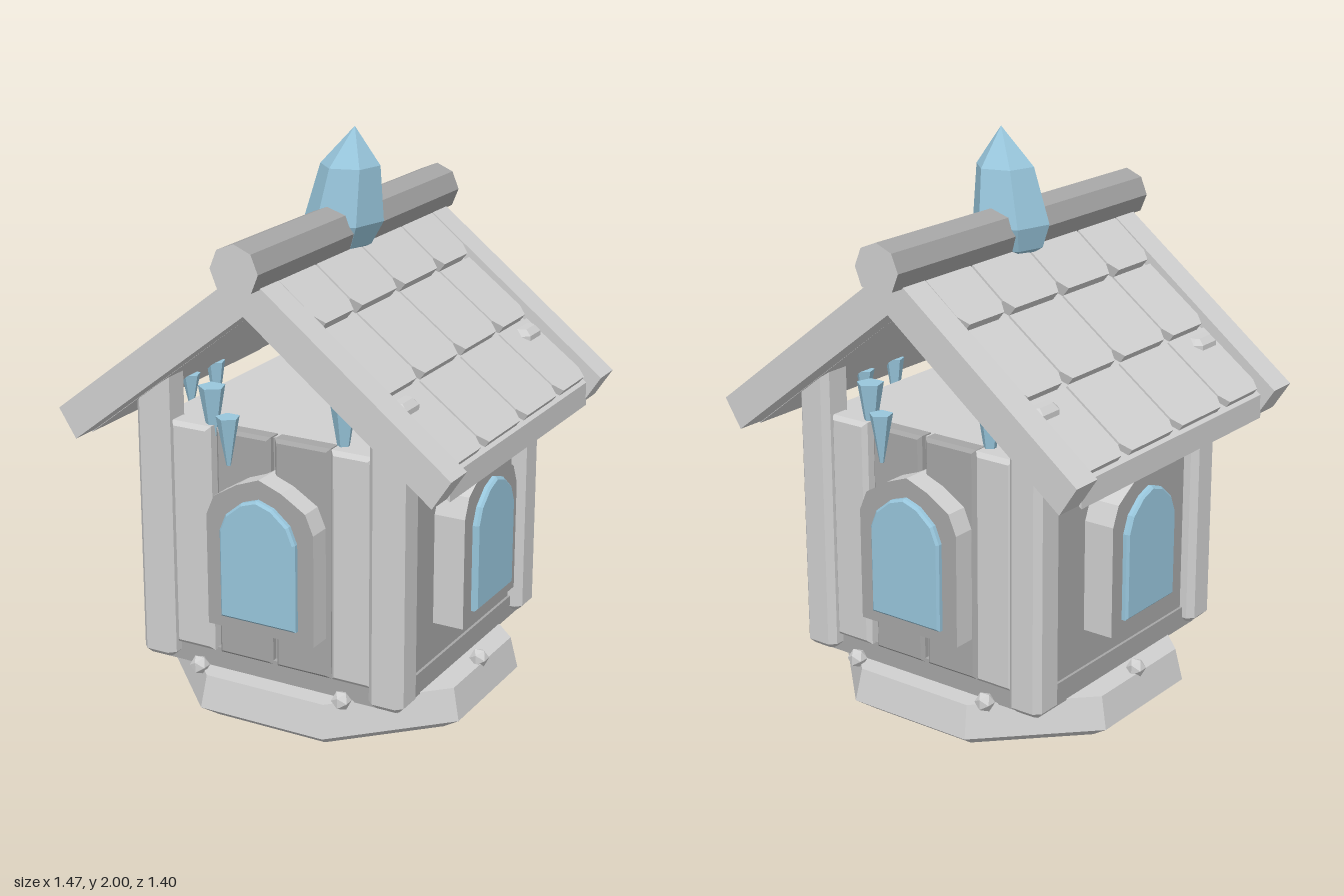
import * as THREE from 'three';

const mat = (name, color) => {
  const m = new THREE.MeshStandardMaterial({ color });
  m.name = name;
  return m;
};

export function createModel() {
  const light = mat('lightGrey', 0xd0d0d0);
  const dark = mat('darkGrey', 0xa6a6a6);
  const blue = mat('iceBlue', 0x98c6dc);
  const model = new THREE.Group();

  const add = (name, geo, material, parent = model, x = 0, y = 0, z = 0) => {
    const mesh = new THREE.Mesh(geo, material);
    mesh.name = name;
    mesh.position.set(x, y, z);
    parent.add(mesh);
    return mesh;
  };
  const group = (name, turn = 0) => {
    const g = new THREE.Group();
    g.name = name;
    g.rotation.y = turn;
    model.add(g);
    return g;
  };
  const flat = (geo) => {
    const g = geo.index ? geo.toNonIndexed() : geo;
    g.computeVertexNormals();
    return g;
  };
  const poly = (pts) => new THREE.Shape(pts.map(([x, y]) => new THREE.Vector2(x, y)));
  // Mirrors the right half of an outline, listed from bottom to top centre
  const mirrored = (pts) =>
    poly([...pts, ...pts.filter(([x]) => x > 0).reverse().map(([x, y]) => [-x, y])]);
  // Extrusion from z0 to z1 with an optional one-step bevel on both ends
  const slab = (shape, z0, z1, bevel = 0) =>
    new THREE.ExtrudeGeometry(shape, {
      depth: z1 - z0 - 2 * bevel, bevelEnabled: bevel > 0, bevelSegments: 1,
      bevelSize: bevel, bevelOffset: -bevel, bevelThickness: bevel,
    }).translate(0, 0, z0 + bevel);

  // Octagonal base
  const basePoints = [[0, 0], [0.51, 0], [0.58, 0.05], [0.555, 0.165], [0, 0.165]]
    .map(([r, y]) => new THREE.Vector2(r / Math.cos(Math.PI / 8), y));
  add('base', flat(new THREE.LatheGeometry(basePoints, 8, Math.PI / 8)), light);

  // Pebbles on the base
  for (const [x, z] of [[0.54, 0], [-0.54, 0], [0.28, 0.52], [-0.28, 0.52], [0.28, -0.52], [-0.28, -0.52]])
    add('pebble', flat(new THREE.IcosahedronGeometry(0.035, 0)), light, model, x, 0.178, z);

  // Floor and solid body: dark walls, light top
  add('floor', new THREE.BoxGeometry(0.94, 0.08, 0.96), dark, model, 0, 0.2, 0);
  add('body', new THREE.BoxGeometry(0.92, 0.81, 0.92), [dark, dark, light, dark, dark, dark], model, 0, 0.635, 0);

  // Corner posts with chamfered corners and ends
  const a = 0.065, c = 0.043;
  const postShape = poly([[a, -c], [a, c], [c, a], [-c, a], [-a, c], [-a, -c], [-c, -a], [c, -a]]);
  const postGeo = slab(postShape, 0, 1.07, 0.02).rotateX(-Math.PI / 2);
  for (const x of [-0.445, 0.445])
    for (const z of [-0.47, 0.47]) add('cornerPost', postGeo, light, model, x, 0.18, z);

  // Planks on the front and back
  for (const turn of [0, Math.PI]) {
    const wall = group('plankWall', turn);
    for (const s of [-1, 1]) {
      const plank = (x0, x1, y0, y1) => poly([[x0, y0], [x1, y0], [x1, y1], [x0, y1]]);
      const span = (p, q) => (s > 0 ? [p, q] : [-q, -p]);
      add('outerPlank', slab(plank(...span(0.23, 0.385), 0.235, 1.05), 0.42, 0.51, 0.015), light, wall);
      add('innerPlank', slab(plank(...span(0.008, 0.218), 0.225, 1.045), 0.42, 0.49, 0.012), dark, wall);
    }
  }

  // Arched windows on all four sides
  const frame = mirrored([[0.205, 0.375], [0.205, 0.77], [0.175, 0.84], [0.085, 0.895], [0, 0.927]]);
  const pane = mirrored([[0.145, 0.42], [0.145, 0.73], [0.12, 0.79], [0.06, 0.84], [0, 0.86]]);
  for (let i = 0; i < 4; i++) {
    const win = group('window', i * Math.PI / 2);
    add('windowFrame', slab(frame, 0.455, 0.572), [dark, light], win);
    add('windowPane', slab(pane, 0.56, 0.594, 0.008), blue, win);
  }

  // Roof deck and gable boards
  const chevron = (low, tip, top) =>
    poly([[0, 1.5], low, tip, [0, top], [-tip[0], tip[1]], [-low[0], low[1]]]);
  add('roofDeck', slab(chevron([0.68, 0.97], [0.68, 1.055], 1.6), -0.545, 0.545), light);
  const gable = chevron([0.67, 0.98], [0.735, 1.08], 1.65);
  for (const z of [-0.65, 0.54]) add('gableBoard', slab(gable, z, z + 0.11), light);

  // Shingles: three rows of four on each slope
  const rows = [[0, 1.65, 0.22, 1.475], [0.215, 1.455, 0.45, 1.28], [0.445, 1.26, 0.683, 1.085]];
  const columns = [-0.54, -0.3, 0, 0.3, 0.54];
  for (const turn of [0, Math.PI]) {
    const slope = group('shingles', turn);
    for (const [x0, y0, x1, y1] of rows) {
      const up = new THREE.Vector3(x0 - x1, y0 - y1, 0);
      const len = up.length();
      up.normalize();
      const out = new THREE.Vector3(up.y, -up.x, 0);
      const basis = new THREE.Matrix4()
        .makeBasis(new THREE.Vector3(0, 0, -1), up, out)
        .setPosition(x1, y1, 0);
      for (let i = 0; i < 4; i++) {
        const u0 = columns[i] + 0.005, u1 = columns[i + 1] - 0.005, k = 0.025;
        const tile = poly([[u0 + k, 0], [u1 - k, 0], [u1, 0.04], [u1, len], [u0, len], [u0, 0.04]]);
        add('shingle', slab(tile, -0.04, 0).applyMatrix4(basis), light, slope);
      }
    }
  }

  // Ridge log
  const ridge = flat(new THREE.CylinderGeometry(0.088, 0.088, 1.4, 8).rotateX(Math.PI / 2));
  add('ridgeLog', ridge, [dark, light, light], model, 0, 1.657, 0);

  // Leaning crystal on the ridge
  const crystalPoints = [[0, 1.58], [0.07, 1.58], [0.105, 1.6], [0.138, 1.68], [0.103, 1.87], [0, 2]]
    .map(([r, y]) => new THREE.Vector2(r, y));
  const crystal = new THREE.LatheGeometry(crystalPoints, 6, -14 * Math.PI / 180);
  const p = crystal.attributes.position;
  for (let i = 0; i < p.count; i++) p.setX(i, p.getX(i) + (p.getY(i) - 1.68) * 0.13);
  add('crystal', flat(crystal), blue);

  // Icicles: x, top, z, length, radius; repeated with a half turn
  const icicles = [
    [-0.245, 1.18, 0.46, 0.22, 0.048], [0.245, 1.185, 0.44, 0.22, 0.045],
    [-0.14, 1.11, 0.53, 0.17, 0.042], [-0.52, 1.1, 0.17, 0.12, 0.036],
    [-0.525, 1.1, 0, 0.18, 0.036],
  ];
  for (const turn of [0, Math.PI]) {
    const set = group('icicles', turn);
    for (const [x, top, z, h, r] of icicles)
      add('icicle', flat(new THREE.CylinderGeometry(r, 0.008, h, 5)), blue, set, x, top - h / 2, z);
  }
  return model;
}
